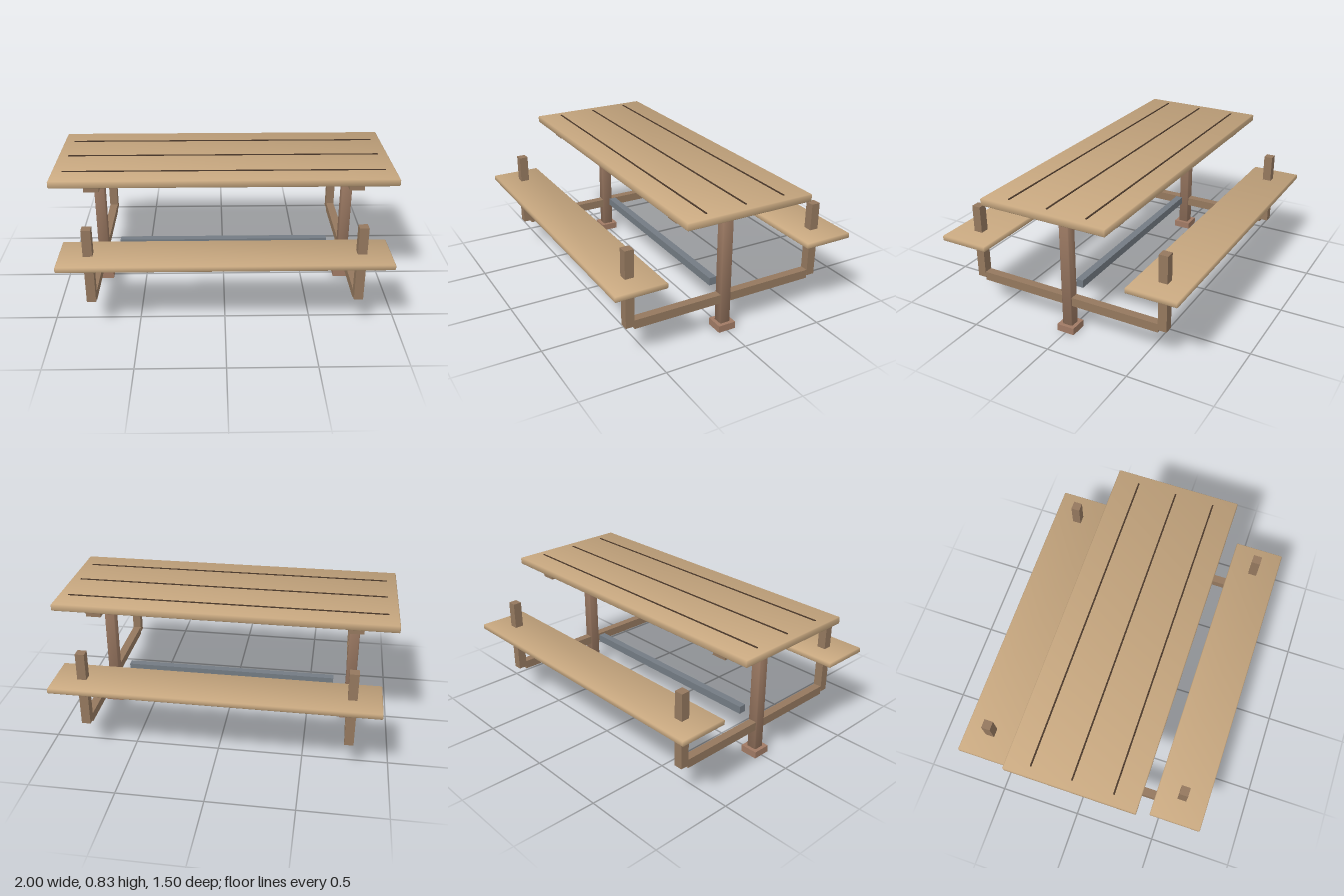
import * as THREE from 'three';
import { ConvexGeometry } from 'three/addons/geometries/ConvexGeometry.js';

const material = (color) => new THREE.MeshStandardMaterial({ color });

// Box with a one-step bevel and soft normals that lean towards its corners
function bevelBox(w, h, d, b) {
  const half = [w / 2, h / 2, d / 2];
  const points = [];
  for (const sx of [-1, 1]) for (const sy of [-1, 1]) for (const sz of [-1, 1]) {
    const s = [sx, sy, sz];
    for (let axis = 0; axis < 3; axis++) {
      points.push(new THREE.Vector3(...s.map((v, i) => v * (half[i] - (i === axis ? 0 : b)))));
    }
  }
  const geometry = new ConvexGeometry(points);
  const pos = geometry.attributes.position;
  const n = new THREE.Vector3();
  for (let i = 0; i < pos.count; i++) {
    const p = [pos.getX(i), pos.getY(i), pos.getZ(i)];
    n.set(...p.map((v, k) => Math.sign(v) * (Math.abs(v) > half[k] - b / 2 ? 1 : 0.39))).normalize();
    geometry.attributes.normal.setXYZ(i, n.x, n.y, n.z);
  }
  return geometry;
}

export function createModel() {
  const model = new THREE.Group();
  model.name = 'picnicTable';

  const plankWood = material(0xc8a880);
  const frameWood = material(0x94785e);
  const columnWood = material(0x977660);
  const footWood = material(0xa07a64);
  const grooveWood = material(0x4a382a);
  const steel = material(0x737b83);

  function add(name, geometry, mat, x, y, z, parent = model) {
    const mesh = new THREE.Mesh(geometry, mat);
    mesh.name = name;
    mesh.position.set(x, y, z);
    parent.add(mesh);
  }
  const box = (w, h, d) => new THREE.BoxGeometry(w, h, d);

  // Table top with three dark plank joints
  add('tableTop', bevelBox(2, 0.042, 0.77, 0.005), plankWood, 0, 0.81, 0);
  for (const z of [-0.24, 0, 0.24]) {
    add('plankJoint', box(1.88, 0.006, 0.009), grooveWood, 0, 0.832, z);
  }

  // Benches on both long sides
  for (const side of [-1, 1]) {
    add('benchSeat', bevelBox(1.856, 0.032, 0.304, 0.005), plankWood, 0, 0.47, side * 0.6);
  }

  // Steel rail between the two end frames
  add('centreRail', box(1.31, 0.047, 0.045), steel, 0, 0.241, 0);

  // End frames: foot, column, top bearer, cross beam and bench posts
  for (const side of [-1, 1]) {
    const frame = new THREE.Group();
    frame.name = side > 0 ? 'leftFrame' : 'rightFrame';
    frame.position.x = side * 0.764;
    model.add(frame);
    add('foot', box(0.108, 0.042, 0.108), footWood, 0, 0.021, 0, frame);
    add('column', bevelBox(0.064, 0.711, 0.064, 0.005), columnWood, 0, 0.3925, 0, frame);
    add('topBearer', box(0.088, 0.046, 0.674), frameWood, 0, 0.767, 0, frame);
    add('crossBeam', box(0.05, 0.053, 1.15), frameWood, 0, 0.199, 0, frame);
    for (const end of [-1, 1]) {
      add('benchPost', box(0.053, 0.458, 0.053), frameWood, 0, 0.419, end * 0.601, frame);
    }
  }
  return model;
}
